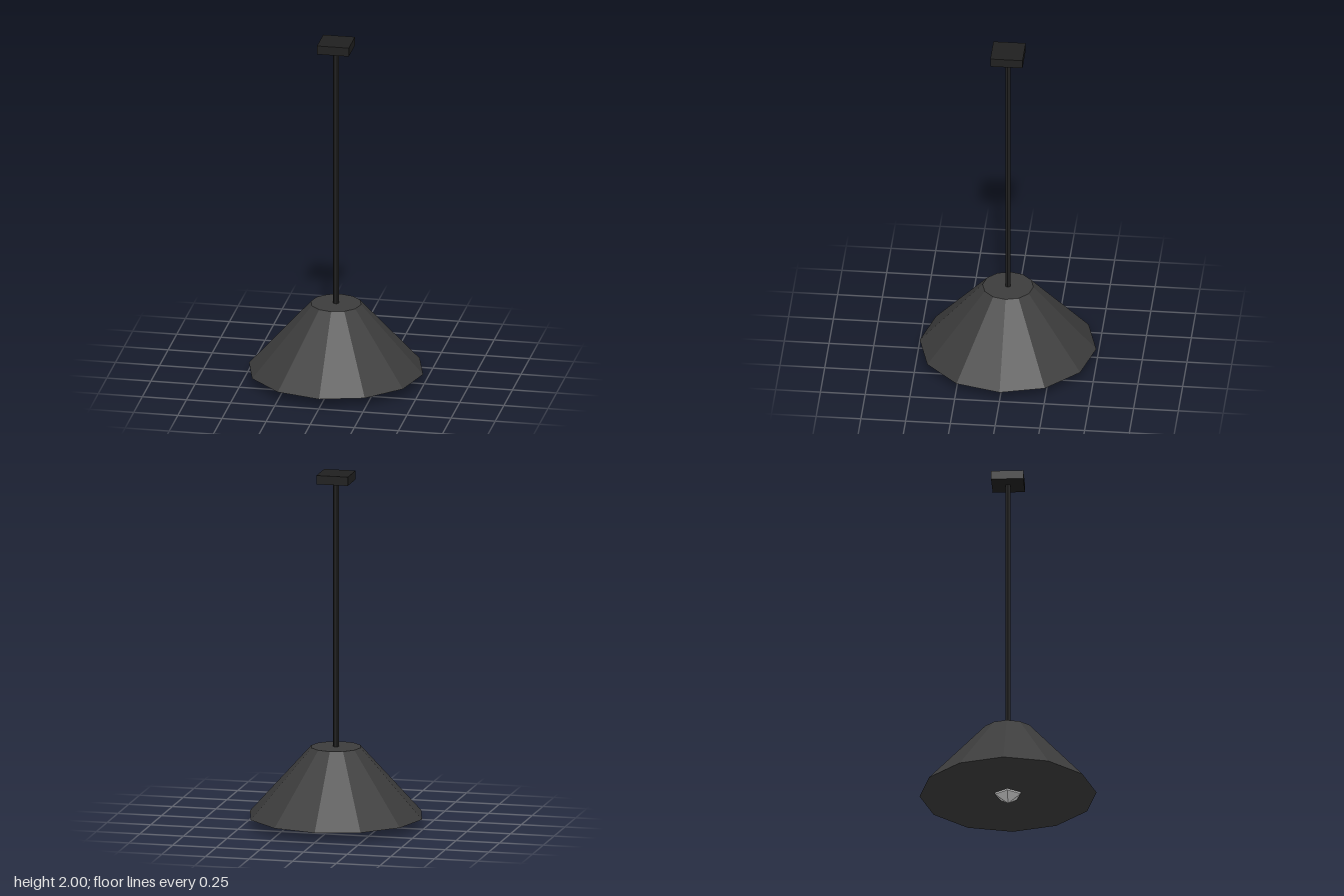
import * as THREE from 'three';

const flat = (name, color) => {
  const m = new THREE.MeshStandardMaterial({ color });
  m.name = name;
  m.flatShading = true;
  return m;
};

export function createModel() {
  const group = new THREE.Group();
  group.name = 'pendantLamp';

  const black = flat('black', 0x202020);
  const charcoal = flat('charcoal', 0x3c3c3c);
  const white = flat('white', 0xe6e6e6);

  const add = (name, geometry, material, y) => {
    const mesh = new THREE.Mesh(geometry, material);
    mesh.name = name;
    mesh.position.y = y;
    group.add(mesh);
  };

  // Square plate that meets the ceiling
  add('ceilingPlate', new THREE.BoxGeometry(0.18, 0.05, 0.18), black, 1.975);

  // Thin six-sided rod, corners on the x axis
  const rodBottom = 0.44, rodTop = 1.955;
  const rod = new THREE.CylinderGeometry(0.016, 0.016, rodTop - rodBottom, 6);
  rod.rotateY(Math.PI / 6);
  add('rod', rod, black, (rodTop + rodBottom) / 2);

  // Closed twelve-sided shade
  add('shade', new THREE.CylinderGeometry(0.142, 0.493, 0.39, 12), charcoal, 0.25);

  // Faceted bulb turned to stand on one corner, its tip below the shade
  const bulbRadius = 0.085;
  const bulb = new THREE.IcosahedronGeometry(bulbRadius, 0);
  bulb.rotateZ(-Math.atan(2 / (1 + Math.sqrt(5))));
  add('bulb', bulb, white, bulbRadius);

  return group;
}
